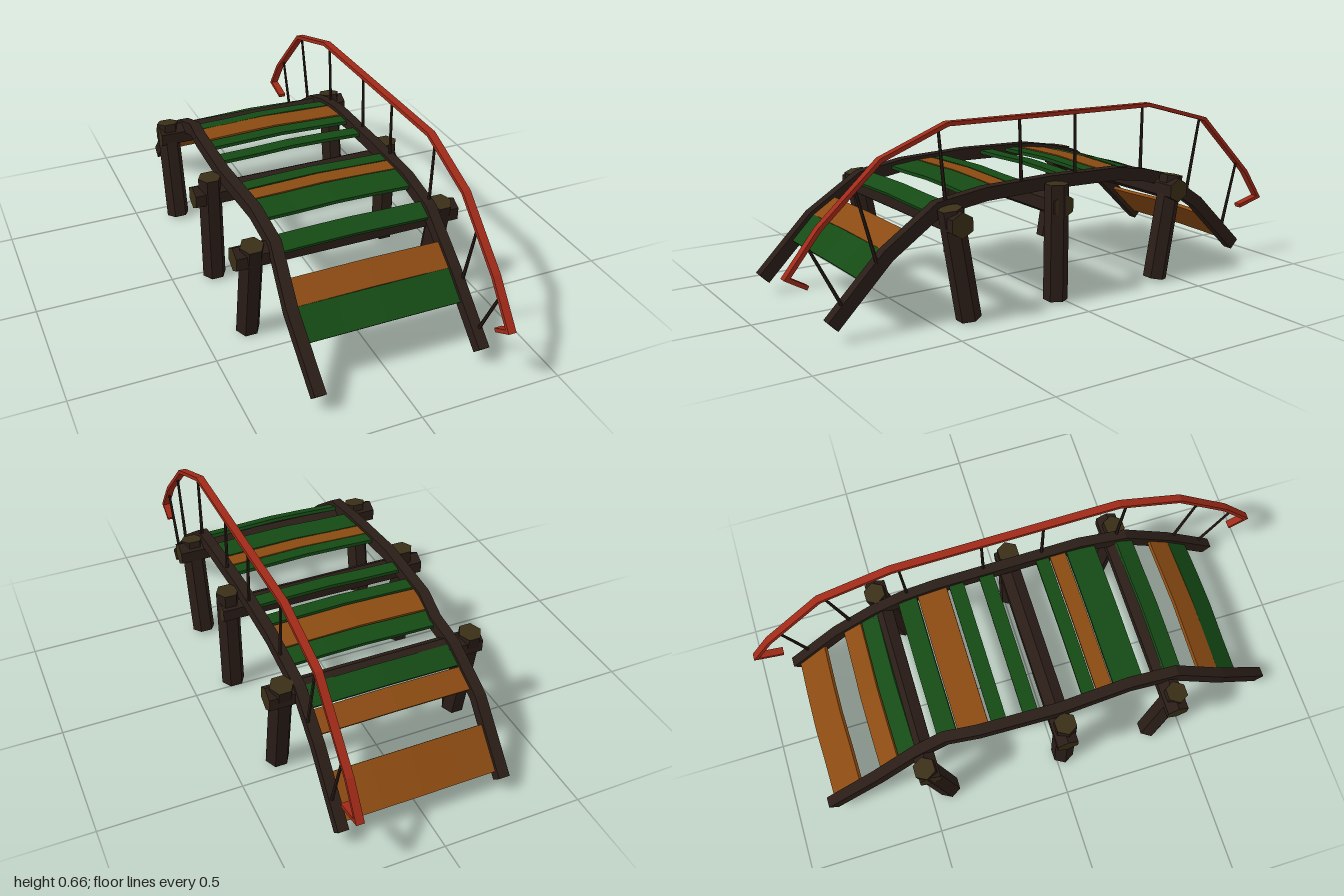
import * as THREE from 'three';

const material = (color) => new THREE.MeshStandardMaterial({ color, flatShading: true });

// Sweeps a mitred w x h rectangle along points [x, y, z] that bend mainly in the yz plane
function sweep(points, w, h) {
  const pts = points.map((p) => new THREE.Vector3(...p));
  const direction = (a, b) => new THREE.Vector3(0, b.y - a.y, b.z - a.z).normalize();
  const rings = pts.map((p, i) => {
    const before = i > 0 ? direction(pts[i - 1], p) : direction(p, pts[i + 1]);
    const after = i < pts.length - 1 ? direction(p, pts[i + 1]) : before;
    const t = before.clone().add(after).normalize();
    const n = new THREE.Vector3(0, -t.z, t.y).multiplyScalar((h / 2) * Math.min(1.6, 1 / t.dot(before)));
    return [[-1, -1], [1, -1], [1, 1], [-1, 1]].map(([sx, sn]) =>
      p.clone().addScaledVector(n, sn).add(new THREE.Vector3((sx * w) / 2, 0, 0)));
  });
  const out = [];
  const quad = (a, b, c, d) => [a, b, c, a, c, d].forEach((v) => out.push(v.x, v.y, v.z));
  for (let i = 0; i < rings.length - 1; i++) {
    for (let j = 0; j < 4; j++) {
      const k = (j + 1) % 4;
      quad(rings[i][j], rings[i + 1][j], rings[i + 1][k], rings[i][k]);
    }
  }
  const end = rings[rings.length - 1];
  quad(...rings[0]);
  quad(end[3], end[2], end[1], end[0]);
  const geo = new THREE.BufferGeometry();
  geo.setAttribute('position', new THREE.Float32BufferAttribute(out, 3));
  geo.computeVertexNormals();
  return geo;
}

export function createModel() {
  const group = new THREE.Group();
  const wood = material(0x2a1d17);
  const cutWood = material(0x3a2f17);
  const green = material(0x154a15);
  const orange = material(0x8a4a12);
  const red = material(0xa02a18);

  const add = (name, geometry, mat) => {
    const mesh = new THREE.Mesh(geometry, mat);
    mesh.name = name;
    group.add(mesh);
    return mesh;
  };

  // Straight round piece between two points
  const rod = (name, from, to, r0, r1, sides, mat) => {
    const a = new THREE.Vector3(...from);
    const b = new THREE.Vector3(...to);
    const dir = b.clone().sub(a);
    const mesh = add(name, new THREE.CylinderGeometry(r1, r0, dir.length(), sides, 1, false, Math.PI / 2), mat);
    mesh.position.copy(a).add(b).multiplyScalar(0.5);
    mesh.quaternion.setFromUnitVectors(new THREE.Vector3(0, 1, 0), dir.normalize());
    return mesh;
  };

  // Arched side beams: z, y, left x, right x
  const arch = [
    [0.85, 0.055, 0.298, -0.285],
    [0.65, 0.25, 0.29, -0.296],
    [0.465, 0.378, 0.294, -0.274],
    [0.29, 0.405, 0.3, -0.274],
    [0.02, 0.412, 0.295, -0.291],
    [-0.27, 0.407, 0.295, -0.282],
    [-0.39, 0.388, 0.295, -0.264],
    [-0.5, 0.357, 0.29, -0.276],
    [-0.66, 0.25, 0.294, -0.292],
    [-0.86, 0.055, 0.298, -0.285],
  ];
  add('leftSideBeam', sweep(arch.map(([z, y, x]) => [x, y, z]), 0.038, 0.046), wood);
  add('rightSideBeam', sweep(arch.map(([z, y, , x]) => [x, y, z]), 0.04, 0.046), wood);

  const archHeight = (z) => {
    let i = 0;
    while (i < arch.length - 2 && arch[i + 1][0] > z) i++;
    const [z0, y0] = arch[i];
    const [z1, y1] = arch[i + 1];
    return y0 + ((y1 - y0) * (z - z0)) / (z1 - z0);
  };

  // Deck planks: front z, back z, colour
  const planks = [
    [0.735, 0.65, green], [0.65, 0.57, orange], [0.495, 0.43, green],
    [0.345, 0.235, green], [0.23, 0.17, orange], [0.165, 0.115, green],
    [-0.05, -0.105, green], [-0.165, -0.22, green], [-0.23, -0.34, orange],
    [-0.345, -0.415, green], [-0.5, -0.565, green], [-0.57, -0.64, orange],
    [-0.73, -0.845, orange],
  ];
  planks.forEach(([z0, z1, mat], i) => {
    const y0 = archHeight(z0);
    const y1 = archHeight(z1);
    const geo = new THREE.BoxGeometry(0.57, 0.013, Math.hypot(z0 - z1, y0 - y1), 4, 1, 1);
    const pos = geo.attributes.position;
    // Slight warp along each plank
    for (let v = 0; v < pos.count; v++) {
      const x = pos.getX(v);
      pos.setY(v, pos.getY(v) + 0.004 * Math.sin(x * 11 + 1.2 + (i % 3) * 0.3));
    }
    geo.computeVertexNormals();
    const plank = add('plank', geo, mat);
    plank.position.set(0.003, (y0 + y1) / 2 + 0.008, (z0 + z1) / 2);
    plank.rotation.x = Math.atan2(y1 - y0, z0 - z1);
  });

  // Log supports: bottom z, top z, top y, beam z, beam y, beam ends
  const supports = [
    [0.38, 0.448, 0.385, 0.435, 0.338, -0.41, 0.405],
    [0.028, 0.028, 0.415, 0.02, 0.34, -0.41, 0.38],
    [-0.425, -0.49, 0.385, -0.48, 0.335, -0.385, 0.4],
  ];
  const logMaterials = [wood, cutWood, cutWood];
  for (const [zBottom, zTop, yTop, zBeam, yBeam, x0, x1] of supports) {
    for (const side of [-1, 1]) {
      rod(side > 0 ? 'leftPost' : 'rightPost',
        [side * 0.345, 0.003, zBottom], [side * 0.347, yTop, zTop], 0.043, 0.042, 6, logMaterials);
    }
    rod('crossBeam', [x0, yBeam, zBeam], [x1, yBeam, zBeam], 0.044, 0.044, 6, logMaterials);
  }

  // Handrail with hooked ends
  const rail = [
    [0.925, 0.195], [0.99, 0.233], [0.88, 0.37], [0.67, 0.558], [0.43, 0.65],
    [-0.41, 0.643], [-0.68, 0.568], [-0.91, 0.34], [-0.985, 0.23], [-0.885, 0.205],
  ];
  add('handrail', sweep(rail.map(([z, y]) => [0.3, y, z]), 0.028, 0.014), red);

  // Balusters: bottom z, y, top z, y
  const balusters = [
    [0.81, 0.11, 0.92, 0.325], [0.69, 0.23, 0.757, 0.482], [0.44, 0.39, 0.461, 0.64],
    [0.145, 0.41, 0.15, 0.647], [-0.08, 0.41, -0.08, 0.645], [-0.375, 0.39, -0.382, 0.642],
    [-0.605, 0.3, -0.662, 0.572], [-0.795, 0.13, -0.865, 0.382],
  ];
  for (const [zb, yb, zt, yt] of balusters) {
    rod('baluster', [0.305, yb, zb], [0.3, yt, zt], 0.0065, 0.005, 6, wood);
  }

  return group;
}
